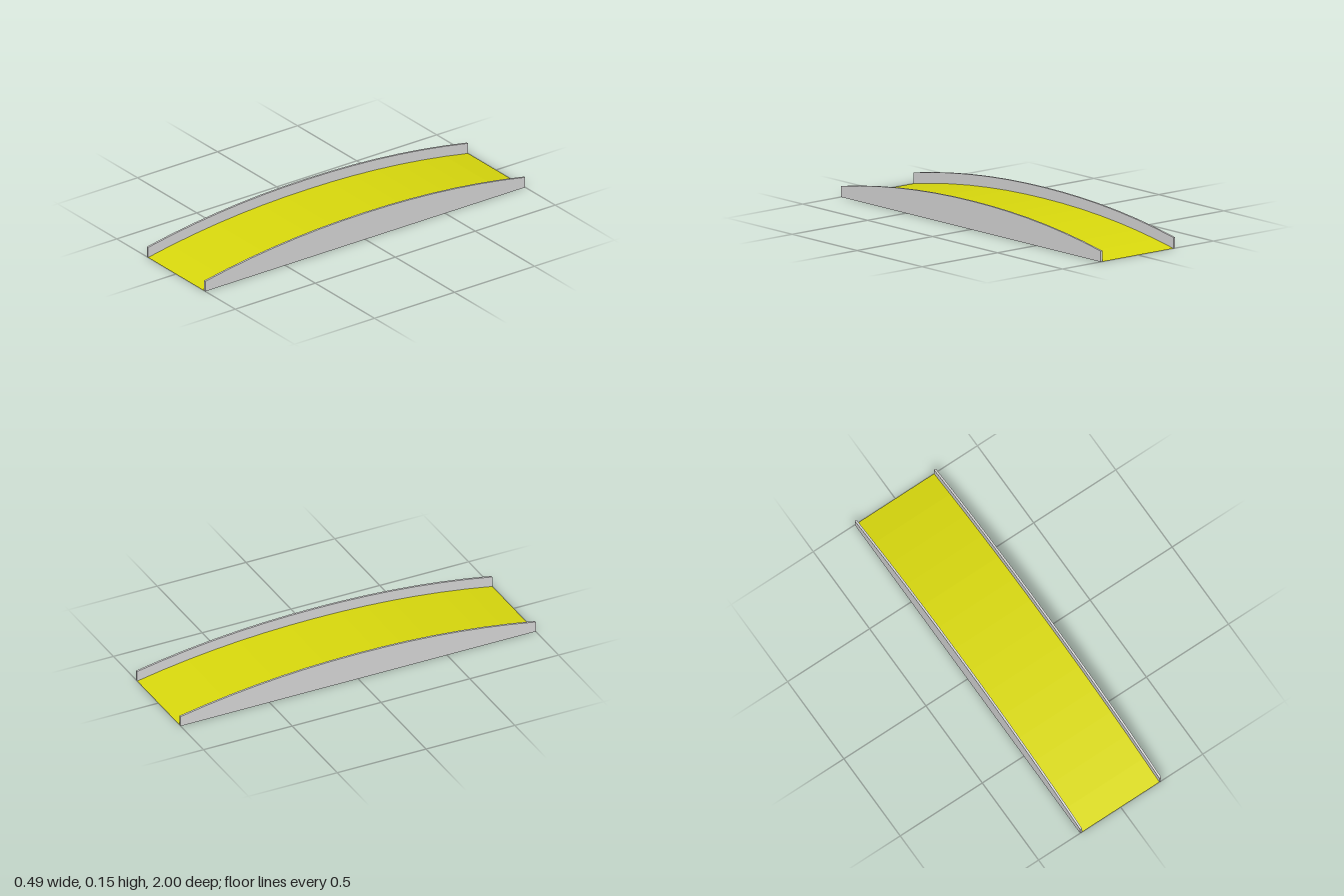
import * as THREE from 'three';

const SEGMENTS = 14;
const RISE = 0.091;        // height of the arch at mid span
const RAIL_HEIGHT = 0.056; // side wall above the deck
const INNER = 0.236;
const OUTER = 0.247;

// Height of the arched deck along the length
const deckHeight = (z) => RISE * (1 - Math.pow(Math.abs(z), 2.1));

export function createModel() {
  const model = new THREE.Group();
  model.name = 'archedBridge';

  const yellow = new THREE.MeshStandardMaterial({ color: 0xdada0d, side: THREE.DoubleSide, flatShading: true });
  yellow.name = 'deckYellow';
  const grey = new THREE.MeshStandardMaterial({ color: 0xd9d9d9, flatShading: true });
  grey.name = 'wallGrey';

  // Deck: a thin sheet bent into an arch, open underneath
  const deckGeometry = new THREE.PlaneGeometry(INNER * 2, 2, 1, SEGMENTS).rotateX(-Math.PI / 2);
  const position = deckGeometry.attributes.position;
  for (let i = 0; i < position.count; i++) position.setY(i, deckHeight(position.getZ(i)));
  deckGeometry.computeVertexNormals();
  const deck = new THREE.Mesh(deckGeometry, yellow);
  deck.name = 'deck';
  model.add(deck);

  // Side walls: flat base, top edge following the deck
  const profile = new THREE.Shape();
  profile.moveTo(-1, 0);
  profile.lineTo(1, 0);
  for (let i = SEGMENTS; i >= 0; i--) {
    const z = -1 + (2 * i) / SEGMENTS;
    profile.lineTo(z, deckHeight(z) + RAIL_HEIGHT);
  }
  profile.closePath();
  const thickness = OUTER - INNER;
  const wallGeometry = new THREE.ExtrudeGeometry(profile, { depth: thickness, bevelEnabled: false });
  wallGeometry.translate(0, 0, -thickness / 2).rotateY(-Math.PI / 2);

  for (const [name, side] of [['leftWall', 1], ['rightWall', -1]]) {
    const wall = new THREE.Mesh(wallGeometry, grey);
    wall.name = name;
    wall.position.x = (side * (INNER + OUTER)) / 2;
    model.add(wall);
  }

  return model;
}
